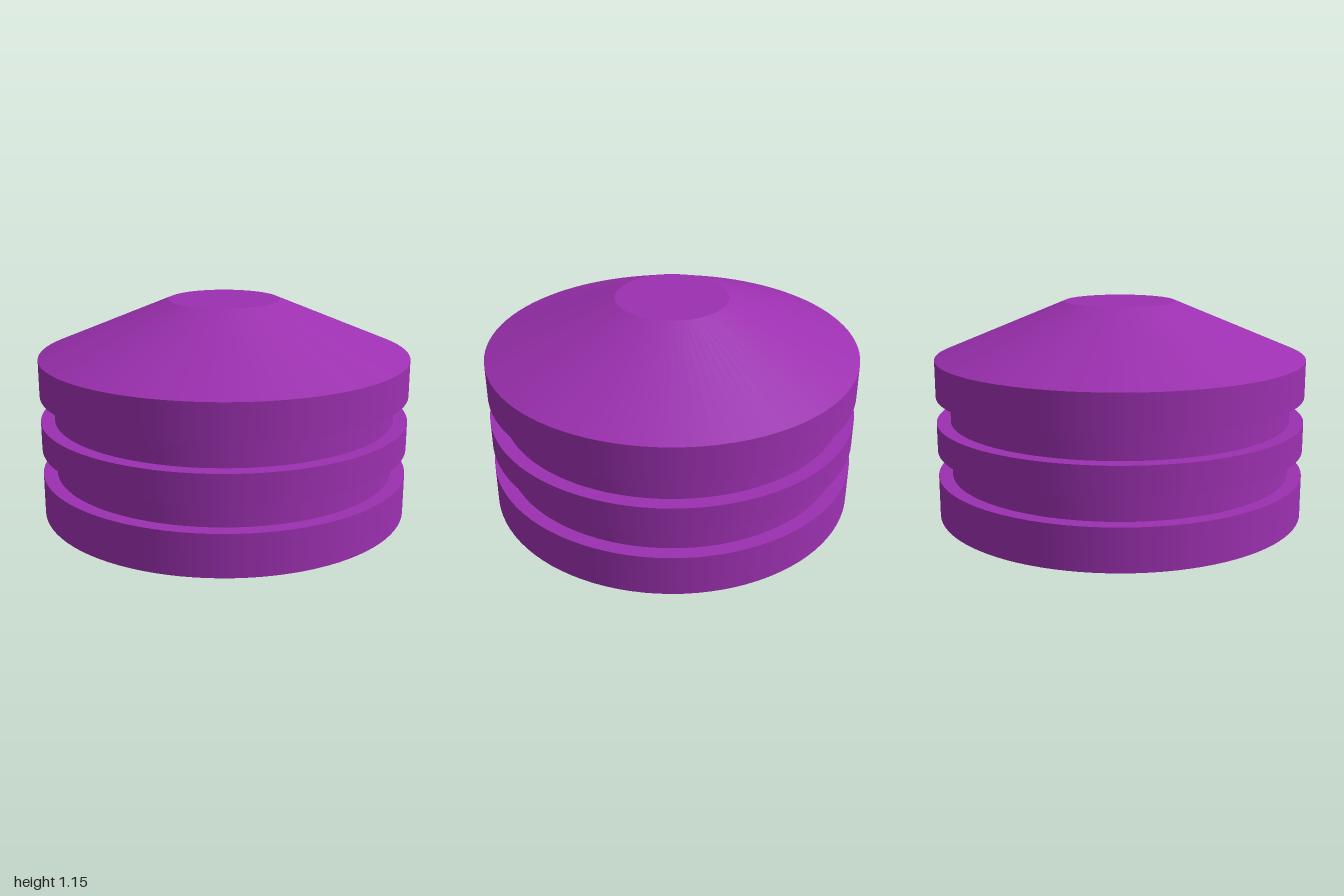
import * as THREE from 'three';
import { mergeGeometries } from 'three/addons/utils/BufferGeometryUtils.js';

const SEGMENTS = 96;

// Revolve each profile segment separately so edges between them stay sharp
function revolve(name, profile, material) {
  const bands = [];
  for (let i = 0; i < profile.length - 1; i++) {
    const pair = [profile[i], profile[i + 1]].map(([r, y]) => new THREE.Vector2(r, y));
    bands.push(new THREE.LatheGeometry(pair, SEGMENTS));
  }
  const mesh = new THREE.Mesh(mergeGeometries(bands), material);
  mesh.name = name;
  return mesh;
}

export function createModel() {
  const group = new THREE.Group();
  group.name = 'groovedPlug';
  const purple = new THREE.MeshStandardMaterial({ color: 0x9c30b0 });
  purple.name = 'purple';

  const R = 1, grooveR = 0.925, boreR = 0.395, boreDepth = 0.25;

  // Blind bore in the underside
  group.add(revolve('bore', [[0, boreDepth], [boreR, boreDepth], [boreR, 0]], purple));

  // Base ring with its flat underside
  group.add(revolve('baseRing', [[boreR, 0], [R, 0], [R, 0.225]], purple));

  // Two square grooves, ledges included
  for (const [name, y0, y1] of [['lowerGroove', 0.225, 0.365], ['upperGroove', 0.52, 0.66]]) {
    group.add(revolve(name, [[R, y0], [grooveR, y0], [grooveR, y1], [R, y1]], purple));
  }

  // Ring between the grooves
  group.add(revolve('middleRing', [[R, 0.365], [R, 0.52]], purple));

  // Top ring, sloped crown and small flat top
  group.add(revolve('topRing', [[R, 0.66], [R, 0.858]], purple));
  group.add(revolve('crown', [[R, 0.858], [0.3, 1.152], [0, 1.152]], purple));

  return group;
}
